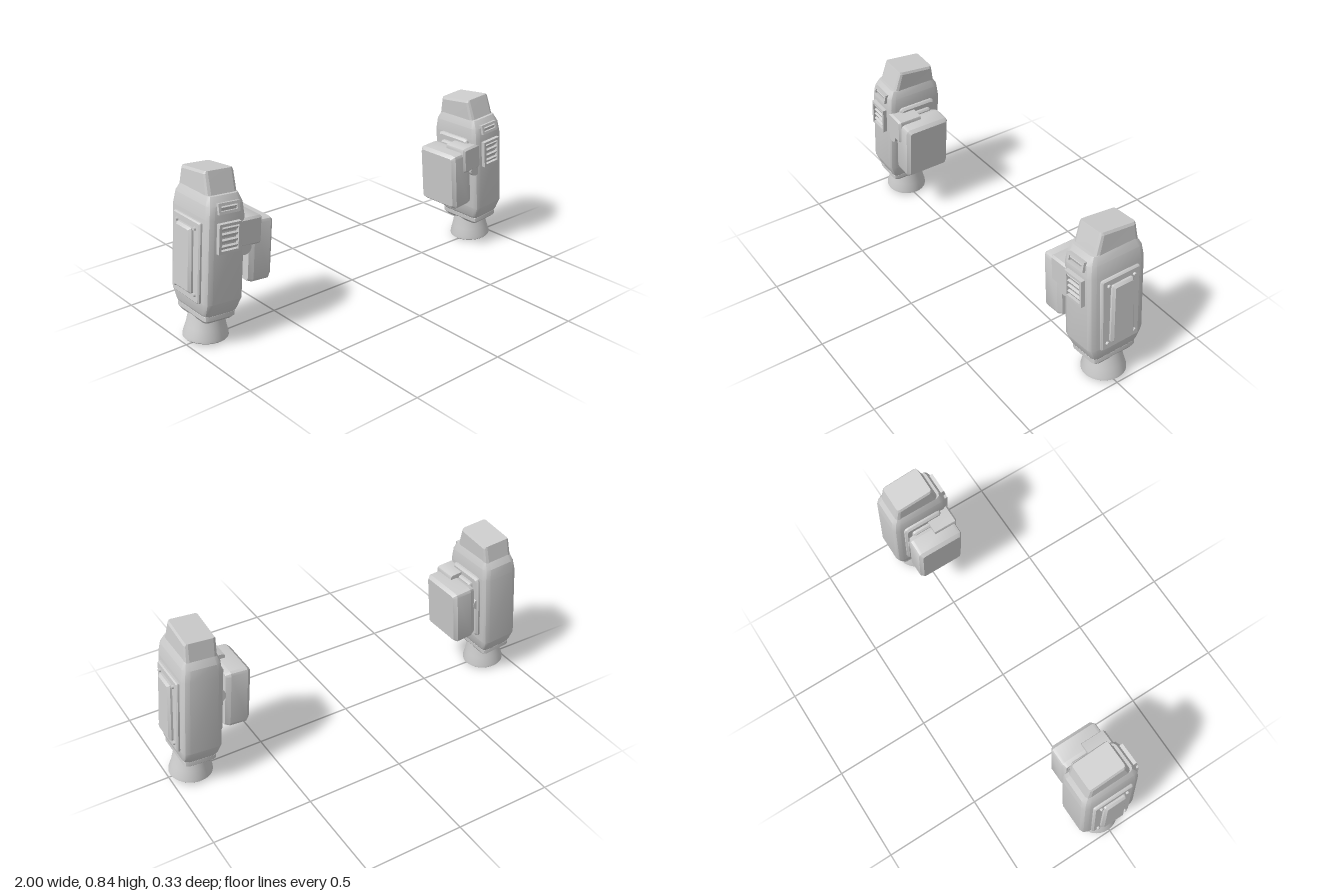
import * as THREE from 'three';
import { toCreasedNormals } from 'three/addons/utils/BufferGeometryUtils.js';

const grey = new THREE.MeshStandardMaterial({ color: 0xcccccc });
grey.name = 'light grey';
const greyOpen = grey.clone();
greyOpen.name = 'light grey open';
greyOpen.side = THREE.DoubleSide;

// Rectangle with rounded-off corners, counter-clockwise seen from above
function ring({ y, hx, hz, c = 0.02, zc = 0, slope = 0, taper = 0 }) {
  const pts = [];
  [[1, 1], [1, -1], [-1, -1], [-1, 1]].forEach(([sx, sz], q) => {
    for (let k = 0; k < 3; k++) {
      const a = -Math.PI / 2 + (q + k / 2) * Math.PI / 2;
      const x = sx * (hx - c) + c * Math.cos(a);
      const z = (sz * (hz - c) - c * Math.sin(a)) * (1 + taper * x) + zc;
      pts.push([x, y + slope * z, z]);
    }
  });
  return pts;
}

// Closed skin over a stack of rings along y
function loft(sections, crease = 0.4) {
  const rings = sections.map(ring);
  const n = rings[0].length;
  const pos = [];
  const tri = (a, b, c) => pos.push(...a, ...b, ...c);
  for (let r = 0; r < rings.length - 1; r++) {
    for (let i = 0; i < n; i++) {
      const j = (i + 1) % n;
      const lo = rings[r], hi = rings[r + 1];
      tri(lo[i], lo[j], hi[j]);
      tri(lo[i], hi[j], hi[i]);
    }
  }
  const top = rings[rings.length - 1], bottom = rings[0];
  for (let i = 1; i < n - 1; i++) {
    tri(top[0], top[i], top[i + 1]);
    tri(bottom[0], bottom[i + 1], bottom[i]);
  }
  const g = new THREE.BufferGeometry();
  g.setAttribute('position', new THREE.Float32BufferAttribute(pos, 3));
  return toCreasedNormals(g, crease);
}

// Block standing on y = 0 with a bevelled top edge
function slab(hx, hz, height, bevel, c = 0.012, taper = 0) {
  const ct = Math.max(c - bevel * 0.5, 0.003);
  return loft([
    { y: 0, hx, hz, c, taper },
    { y: height - bevel, hx, hz, c, taper },
    { y: height, hx: hx - bevel, hz: hz - bevel, c: ct, taper },
  ]);
}

// Rectangular frame in the xy plane
function frame(w, h, border, depth) {
  const rect = (P, a, b) => {
    const p = new P();
    p.moveTo(-a, -b); p.lineTo(a, -b); p.lineTo(a, b); p.lineTo(-a, b); p.closePath();
    return p;
  };
  const s = rect(THREE.Shape, w / 2, h / 2);
  s.holes.push(rect(THREE.Path, w / 2 - border, h / 2 - border));
  return new THREE.ExtrudeGeometry(s, { depth, bevelEnabled: false });
}

// One thruster pod; s = 1 for the left side, -1 for the right, local +x * s points outward
function pod(s) {
  const g = new THREE.Group();
  g.name = s > 0 ? 'leftPod' : 'rightPod';
  const add = (name, geo, x, y, z, rx = 0, rz = 0, mat = grey, parent = g) => {
    const m = new THREE.Mesh(geo, mat);
    m.name = name;
    m.position.set(x * s, y, z);
    m.rotation.set(rx, 0, rz * s);
    parent.add(m);
    return m;
  };
  const OUT = -Math.PI / 2, IN = Math.PI / 2;

  // Main hull
  add('hull', loft([
    { y: 0.145, hx: 0.078, hz: 0.118 },
    { y: 0.165, hx: 0.09, hz: 0.13, c: 0.025 },
    { y: 0.225, hx: 0.1, hz: 0.155, c: 0.03 },
    { y: 0.625, hx: 0.1, hz: 0.155, c: 0.03 },
    { y: 0.685, hx: 0.093, hz: 0.148, c: 0.03 },
    { y: 0.725, hx: 0.079, hz: 0.125, c: 0.022 },
  ]), 0, 0, -0.01);

  // Tapered cap with a slanted top
  add('cap', loft([
    { y: 0.7, hx: 0.08, hz: 0.125, zc: -0.017, c: 0.02 },
    { y: 0.808, hx: 0.077, hz: 0.099, zc: -0.027, c: 0.016, slope: 0.11 },
    { y: 0.82, hx: 0.07, hz: 0.096, zc: -0.028, c: 0.01, slope: 0.11 },
  ], 0.3), 0, 0, 0);

  // Collar and hollow nozzle
  add('collar', loft([
    { y: 0.115, hx: 0.074, hz: 0.108 },
    { y: 0.13, hx: 0.083, hz: 0.123 },
    { y: 0.152, hx: 0.083, hz: 0.123 },
    { y: 0.16, hx: 0.078, hz: 0.116 },
  ]), 0, 0, -0.01);
  const profile = [[0, 0.1], [0.06, 0.1], [0.097, 0.004], [0.102, 0], [0.107, 0.005],
    [0.106, 0.018], [0.094, 0.06], [0.083, 0.115], [0.079, 0.135]];
  const nozzle = new THREE.LatheGeometry(profile.map(p => new THREE.Vector2(...p)), 32);
  add('nozzle', toCreasedNormals(nozzle, 0.6), 0, 0, -0.01, 0, 0, greyOpen);

  // Outer access panel with bolts
  add('outerPlate', slab(0.193, 0.107, 0.022, 0.006, 0.008), 0.093, 0.413, -0.011, 0, OUT);
  add('outerPanel', slab(0.156, 0.063, 0.026, 0.011, 0.01, 0.4 * s), 0.11, 0.416, -0.011, 0, OUT);
  for (const [y, dz] of [[0.572, 0.072], [0.258, 0.078]]) {
    for (const k of [-1, 1]) {
      add('bolt', new THREE.CylinderGeometry(0.008, 0.01, 0.012, 8), 0.119, y, -0.011 + k * dz, 0, OUT);
    }
  }

  // Front louvre and the slot vent above it
  const vents = [
    ['louvre', 0.115, 0.14, 0.54, 0.14, 0, 4],
    ['slotVent', 0.11, 0.05, 0.672, 0.127, -0.2, 1],
  ];
  for (const [name, w, h, y, z, tilt, count] of vents) {
    const v = new THREE.Group();
    v.name = name;
    v.position.set(0, y, z);
    v.rotation.x = tilt;
    g.add(v);
    add(name + 'Frame', frame(w, h, 0.013, 0.026), 0, 0, 0, 0, 0, grey, v);
    for (let i = 0; i < count; i++) {
      const sy = ((i + 0.5) / count - 0.5) * (h - 0.026);
      add('slat', new THREE.BoxGeometry(w - 0.026, 0.016, 0.012), 0, sy, 0.013, 0.5, 0, grey, v);
    }
  }

  // Inner mounting plate, ledge and hinge pin
  add('innerPlate', slab(0.185, 0.105, 0.03, 0.01, 0.02), -0.09, 0.44, -0.011, 0, IN);
  add('innerRail', slab(0.16, 0.07, 0.025, 0.008, 0.015), -0.115, 0.43, -0.011, 0, IN);
  add('hingePin', new THREE.CylinderGeometry(0.035, 0.035, 0.25, 20), -0.1, 0.465, 0.015, Math.PI / 2);

  // Side box and the front bracket that holds it
  add('sideBox', loft([
    { y: 0, hx: 0.143, hz: 0.115, c: 0.015 },
    { y: 0.025, hx: 0.153, hz: 0.125, c: 0.02 },
    { y: 0.11, hx: 0.153, hz: 0.125, c: 0.02 },
    { y: 0.128, hx: 0.138, hz: 0.11, c: 0.012 },
  ]), -0.132, 0.43, 0.008, 0, IN);
  add('bracket', slab(0.062, 0.068, 0.13, 0.01, 0.012), -0.126, 0.537, 0.013, Math.PI / 2);

  g.position.set(0.888 * s, 0.012, 0);
  g.rotation.z = 0.089 * s;
  return g;
}

export function createModel() {
  const model = new THREE.Group();
  model.name = 'thrusterPods';
  model.add(pod(1), pod(-1));
  return model;
}
